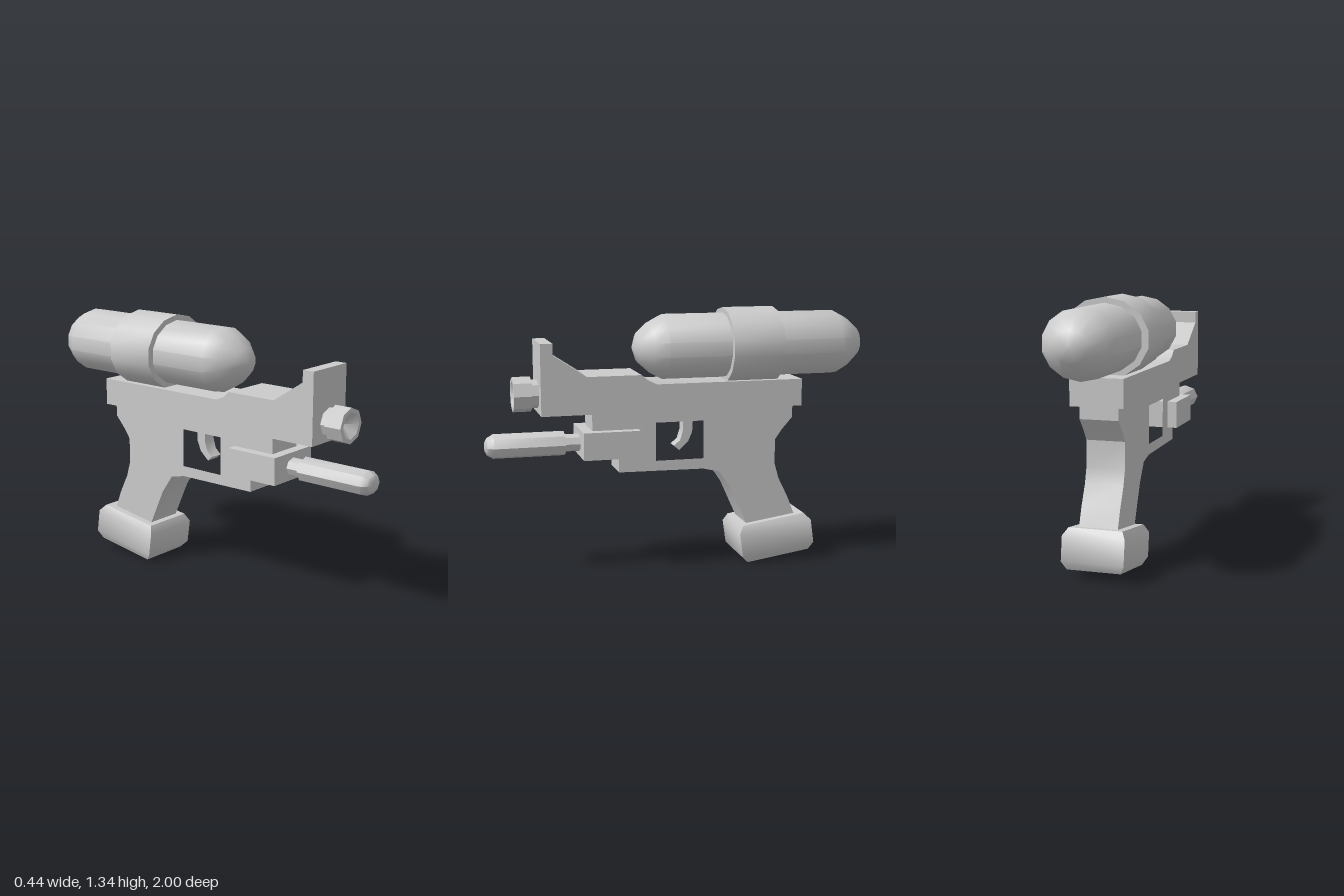
import * as THREE from 'three';
import { toCreasedNormals } from 'three/addons/utils/BufferGeometryUtils.js';

const material = new THREE.MeshStandardMaterial({ color: 0xcccccc });
const vectors = (points) => points.map(([a, b]) => new THREE.Vector2(a, b));

function part(name, geometry, crease) {
  const mesh = new THREE.Mesh(toCreasedNormals(geometry, crease), material);
  mesh.name = name;
  return mesh;
}

// Side outline given as [z, y] points, given a thickness across x
function slab(name, outline, width, hole) {
  const shape = new THREE.Shape(vectors(outline));
  if (hole) shape.holes.push(new THREE.Path(vectors(hole)));
  const geometry = new THREE.ExtrudeGeometry(shape, { depth: width, bevelEnabled: false });
  geometry.translate(0, 0, -width / 2).rotateY(-Math.PI / 2);
  return part(name, geometry, 0.55);
}

// Turned part along z; profile is [radius, z] from back to front, widened across x
function turned(name, profile, sides, y, widen = 1) {
  const geometry = new THREE.LatheGeometry(vectors(profile), sides);
  geometry.rotateX(Math.PI / 2).scale(widen, 1, 1).translate(0, y, 0);
  return part(name, geometry, 0.7);
}

export function createModel() {
  const model = new THREE.Group();
  model.name = 'waterPistol';

  // Upper rail with the raised front sight plate
  model.add(slab('upperRail', [
    [0.73, 0.83], [0.73, 1.19], [0.668, 1.19], [0.668, 1.13], [0.5, 1.02], [0.222, 1.02],
    [0.19, 0.99], [0.142, 0.97], [-0.63, 0.97], [-0.63, 0.83],
  ], 0.268));

  // Frame and grip with the trigger opening
  model.add(slab('frameAndGrip', [
    [0.47, 0.83], [0.47, 0.62], [0.335, 0.62], [0.335, 0.52], [-0.11, 0.515], [-0.195, 0.495],
    [-0.26, 0.4], [-0.35, 0.2], [-0.37, 0.12], [-0.65, 0.15], [-0.61, 0.245], [-0.575, 0.335],
    [-0.523, 0.44], [-0.5, 0.52], [-0.5, 0.65], [-0.535, 0.7], [-0.593, 0.765], [-0.593, 0.83],
  ], 0.196, [[0.142, 0.768], [0.142, 0.57], [-0.11, 0.57], [-0.11, 0.768]]));

  // Curved trigger
  model.add(slab('trigger', [
    [-0.072, 0.78], [-0.067, 0.7], [-0.045, 0.65], [0.003, 0.607], [0.03, 0.63],
    [-0.003, 0.66], [-0.018, 0.71], [-0.018, 0.78],
  ], 0.07));

  // Block that holds the pump
  const block = part('pumpBlock', new THREE.BoxGeometry(0.298, 0.14, 0.29), 0.5);
  block.position.set(0, 0.67, 0.378);
  model.add(block);

  // Pump handle with a narrow neck
  model.add(turned('pumpHandle', [
    [0, 0.5], [0.045, 0.5], [0.045, 0.6], [0.063, 0.6], [0.063, 0.957], [0.044, 0.99],
    [0.022, 1], [0, 1],
  ], 8, 0.668, 1.2));

  // Nozzle with a conical recess
  model.add(turned('nozzle', [
    [0, 0.7], [0.072, 0.7], [0.072, 0.764], [0.089, 0.764], [0.089, 0.855], [0.067, 0.855],
    [0, 0.8],
  ], 8, 0.926));

  // Water tank with rounded ends, and the band around it
  const cap = [[0, 0], [0.075, 0.028], [0.13, 0.09], [0.167, 0.16]];
  model.add(turned('waterTank', [
    ...cap.map(([r, d]) => [r, -1 + d]),
    ...cap.map(([r, d]) => [r, 0.245 - d]).reverse(),
  ], 14, 1.144, 1.127));
  model.add(turned('tankBand', [
    [0.15, -0.508], [0.195, -0.508], [0.195, -0.238], [0.15, -0.238],
  ], 14, 1.144, 1.14));

  // Chamfered foot under the grip, tilted with it
  const foot = new THREE.LatheGeometry(vectors([
    [0, -0.1], [0.86, -0.1], [1, -0.06], [1, 0.064], [0.86, 0.102], [0, 0.102],
  ]), 4);
  foot.rotateY(Math.PI / 4).scale(0.157 * Math.SQRT2, 1, 0.198 * Math.SQRT2);
  const gripFoot = part('gripFoot', foot, 0.7);
  gripFoot.position.set(0, 0.126, -0.5);
  gripFoot.rotation.x = 0.142;
  model.add(gripFoot);

  // The whole toy is turned very slightly
  model.rotation.y = -0.032;
  model.position.x = -0.0165;
  const root = new THREE.Group();
  root.add(model);
  return root;
}
